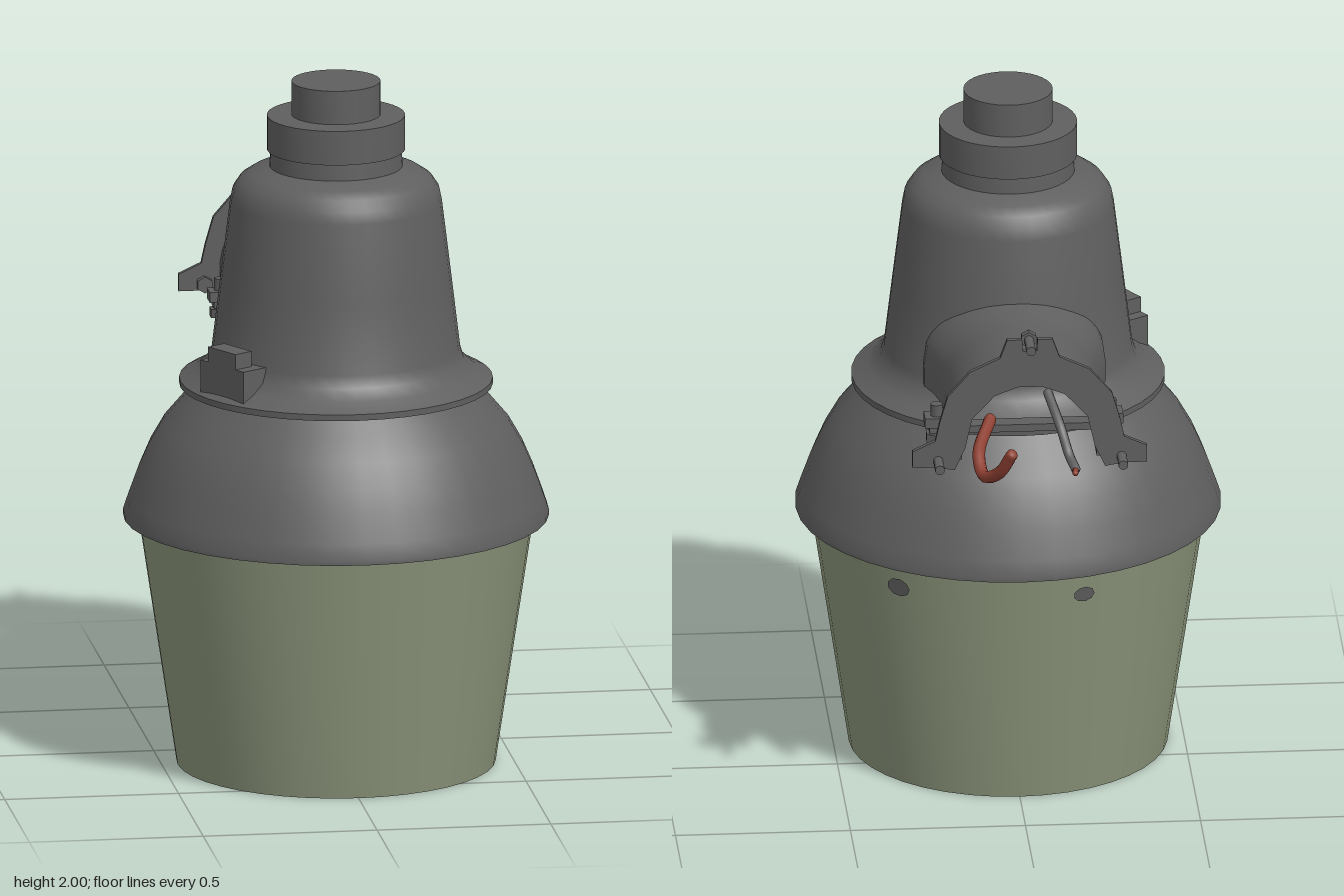
import * as THREE from 'three';
import { toCreasedNormals } from 'three/addons/utils/BufferGeometryUtils.js';

const AXIS_Z = 0.172; // vertical axis of the lamp
const V = (x, y, z) => new THREE.Vector3(x, y, z);

export function createModel() {
  const root = new THREE.Group();
  const material = (name, color, side = THREE.FrontSide) => {
    const m = new THREE.MeshStandardMaterial({ color, side });
    m.name = name;
    return m;
  };
  const metal = material('grey metal', 0x5f5f5f);
  const glass = material('pale green glass', 0x8a947a, THREE.DoubleSide);
  const red = material('red wire', 0x8f4032);

  const add = (name, geometry, mat, x = 0, y = 0, z = 0, parent = root) => {
    const mesh = new THREE.Mesh(geometry, mat);
    mesh.name = name;
    mesh.position.set(x, y, z);
    parent.add(mesh);
    return mesh;
  };
  const lathe = (pts, segments = 40) => toCreasedNormals(
    new THREE.LatheGeometry(pts.map(([r, y]) => new THREE.Vector2(r, y)), segments), 0.6);
  const bar = (radius, length, sides = 10) => toCreasedNormals(
    new THREE.CylinderGeometry(radius, radius, length, sides), 0.7);

  // Reflector skirt, closed inside
  add('skirt', lathe([
    [0, 0.8], [0.3, 0.79], [0.56, 0.74], [0.57, 0.727], [0.607, 0.727], [0.607, 0.74], [0.592, 0.785],
    [0.565, 0.86], [0.535, 0.93], [0.495, 1.0], [0.44, 1.065], [0.395, 1.115], [0, 1.115],
  ]), metal, 0, 0, AXIS_Z);

  // Tapered housing with flange and rounded shoulder
  add('housing', lathe([
    [0, 1.112], [0.447, 1.112], [0.447, 1.13], [0.4, 1.155], [0.365, 1.185], [0.354, 1.22], [0.33, 1.42],
    [0.302, 1.65], [0.295, 1.685], [0.275, 1.715], [0.245, 1.735], [0.19, 1.752], [0.187, 1.805], [0, 1.805],
  ]), metal, 0, 0, AXIS_Z);

  // Light sensor on top
  add('sensorCap', lathe([
    [0, 1.8], [0.197, 1.8], [0.197, 1.9], [0.127, 1.902], [0.127, 2], [0, 2],
  ]), metal, 0, 0, AXIS_Z);

  // Open glass refractor
  add('refractor', lathe([[0.455, 0.005], [0.565, 0.735]]), glass, 0, 0, AXIS_Z);

  // Small dark patches on the glass
  for (const [dx, dz, size] of [[0.62, -0.785, 0.038], [-0.32, -0.947, 0.032]]) {
    const holder = new THREE.Group();
    holder.name = 'glassPatch';
    holder.position.set(dx * 0.557, 0.653, AXIS_Z + dz * 0.557);
    holder.rotation.y = Math.atan2(dx, dz);
    const patch = add('patch', new THREE.CircleGeometry(size, 9), metal, 0, 0, 0, holder);
    patch.rotation.x = 0.15;
    patch.scale.y = 0.75;
    root.add(holder);
  }

  // Latch block on the flange
  const latch = new THREE.Group();
  latch.name = 'latch';
  latch.position.set(-0.335, 0, 0.38);
  latch.rotation.y = Math.atan2(-0.335, 0.21);
  add('latchBase', new THREE.BoxGeometry(0.19, 0.12, 0.1), metal, 0, 1.17, -0.02, latch);
  add('latchTop', new THREE.BoxGeometry(0.12, 0.06, 0.06), metal, 0, 1.245, 0, latch);
  root.add(latch);

  // Mounting arm: arched channel, flared where it meets the housing
  const arch = new THREE.Shape();
  arch.moveTo(0.217, 1.2);
  arch.lineTo(0.217, 1.25);
  arch.absellipse(0, 1.25, 0.217, 0.203, 0, Math.PI, false);
  arch.lineTo(-0.217, 1.2);
  arch.lineTo(-0.192, 1.2);
  arch.lineTo(-0.192, 1.25);
  arch.absellipse(0, 1.25, 0.192, 0.178, Math.PI, 0, true);
  arch.lineTo(0.192, 1.2);
  const armGeo = new THREE.ExtrudeGeometry(arch, { depth: 0.65, steps: 14, bevelEnabled: false, curveSegments: 18 });
  armGeo.translate(0, 0, -0.65);
  const p = armGeo.attributes.position;
  for (let i = 0; i < p.count; i++) {
    const flare = Math.max(0, (p.getZ(i) + 0.28) / 0.15);
    p.setX(i, p.getX(i) * (1 + 0.13 * Math.min(flare * flare, 1.5)));
    p.setY(i, p.getY(i) + 0.02 * Math.min(flare * flare, 1) * (p.getY(i) > 1.3 ? 1 : 0));
  }
  add('mountingArm', toCreasedNormals(armGeo, 0.6), metal);

  // Mounting plate with ears and a slotted top tab
  const outer = [[0.02, 1.535], [0.022, 1.57], [0.065, 1.57], [0.085, 1.515], [0.17, 1.475], [0.235, 1.4],
    [0.258, 1.32], [0.27, 1.265], [0.335, 1.235], [0.335, 1.185], [0.27, 1.185], [0.215, 1.175]];
  const inner = [[0.185, 1.24], [0.165, 1.33], [0.1, 1.4], [0.035, 1.425]];
  const half = [...outer, ...inner];
  const outline = [...half, ...half.map(([x, y]) => [-x, y]).reverse()];
  const plateShape = new THREE.Shape(outline.map(([x, y]) => new THREE.Vector2(x, y)));
  add('mountingPlate', new THREE.ExtrudeGeometry(plateShape, { depth: 0.016, bevelEnabled: false }),
    metal, 0, 0, -0.668);

  // Plate bolts
  for (const [x, y, z] of [[-0.262, 1.205, -0.69], [0.262, 1.205, -0.69], [0, 1.555, -0.67]]) {
    add('plateBolt', bar(0.014, 0.1), metal, x, y, z).rotation.x = Math.PI / 2;
    add('boltHead', bar(0.024, 0.022, 6), metal, x, y, z + 0.047).rotation.x = Math.PI / 2;
  }

  // Clamp strap under the arm with its side bolts
  add('clampStrap', new THREE.BoxGeometry(0.54, 0.022, 0.05), metal, 0, 1.207, -0.42);
  for (const x of [-0.248, 0.248]) {
    add('clampLug', new THREE.BoxGeometry(0.07, 0.03, 0.06), metal, x, 1.23, -0.42);
    add('clampBolt', bar(0.018, 0.115), metal, x, 1.222, -0.42);
    add('clampNut', bar(0.034, 0.025, 6), metal, x, 1.18, -0.42);
  }

  // Wires hanging out of the arm
  const wire = (name, radius, mat, points) => {
    const curve = new THREE.CatmullRomCurve3(points);
    add(name, new THREE.TubeGeometry(curve, 20, radius, 8), mat);
    const ends = [points[0], points[points.length - 1]];
    for (const e of ends) add(name + 'End', new THREE.SphereGeometry(radius, 8, 6), mat, e.x, e.y, e.z);
  };
  wire('redWire', 0.018, red, [V(0.1, 1.25, -0.48), V(0.14, 1.195, -0.59), V(0.13, 1.155, -0.67),
    V(0.09, 1.19, -0.73), V(0.06, 1.255, -0.765)]);
  wire('greyWire', 0.014, metal, [V(-0.06, 1.36, -0.56), V(-0.09, 1.29, -0.66), V(-0.11, 1.225, -0.7),
    V(-0.125, 1.2, -0.745)]);
  wire('greyWireTip', 0.009, red, [V(-0.125, 1.2, -0.74), V(-0.122, 1.2, -0.775)]);

  return root;
}
